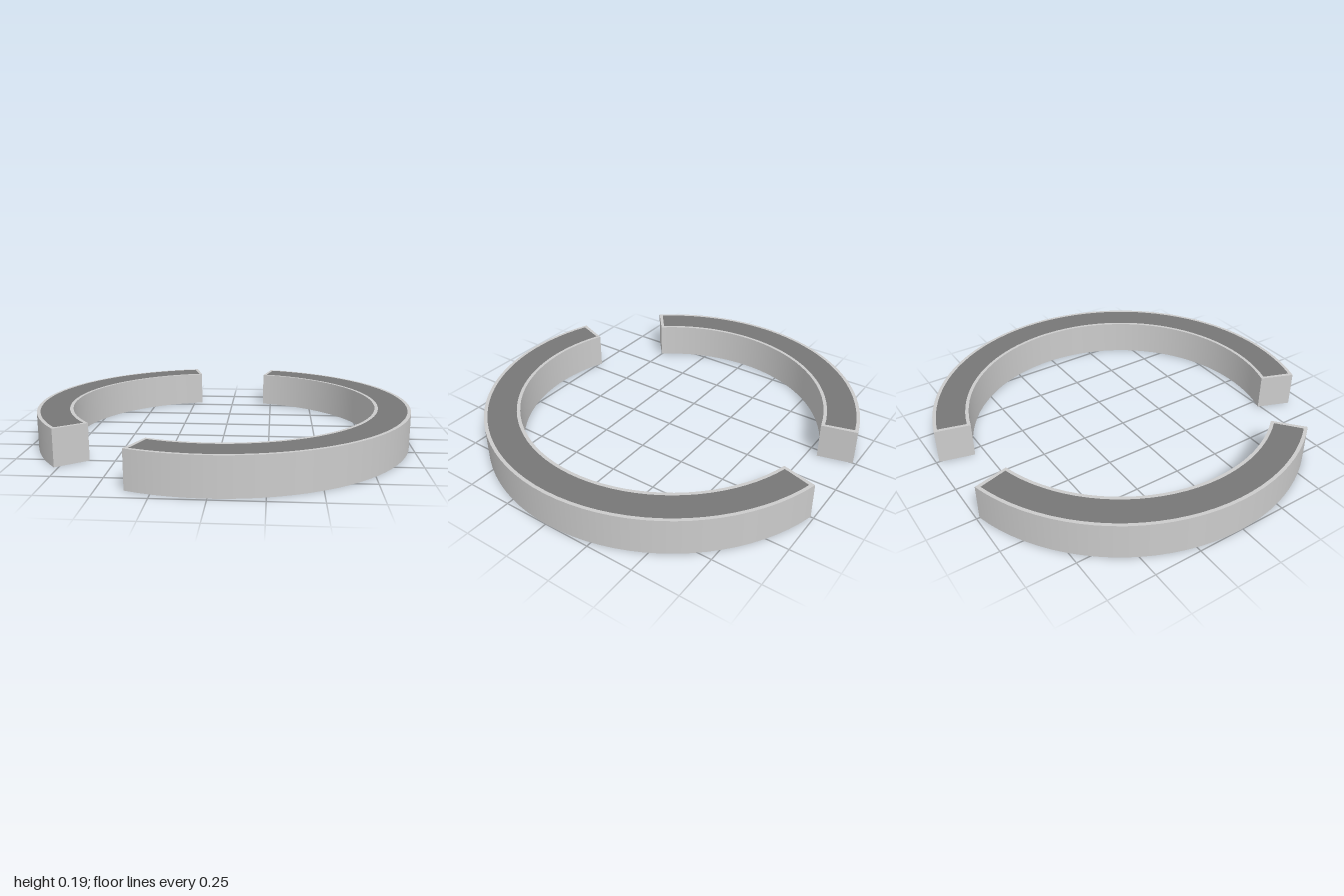
import * as THREE from 'three';

const OUTER = 1, INNER = 0.813, HEIGHT = 0.192, RIM = 0.018;
const CENTER_Z = -0.016;
const rad = THREE.MathUtils.degToRad;

const shellMaterial = new THREE.MeshStandardMaterial({ color: 0xcccccc, side: THREE.DoubleSide });
const panelMaterial = new THREE.MeshStandardMaterial({ color: 0x777777, side: THREE.DoubleSide });

function add(group, name, geometry, material = shellMaterial) {
  const mesh = new THREE.Mesh(geometry, material);
  mesh.name = name;
  group.add(mesh);
}

// Flat ring sector at the top; angles run from +z towards +x
function flatSector(r0, r1, a0, a1, segments) {
  return new THREE.RingGeometry(r0, r1, segments, 1, a0 - Math.PI / 2, a1 - a0)
    .rotateX(-Math.PI / 2)
    .translate(0, HEIGHT, 0);
}

// Curved upright wall
function curvedWall(r, a0, a1, segments) {
  return new THREE.CylinderGeometry(r, r, HEIGHT, segments, 1, true, a0, a1 - a0)
    .translate(0, HEIGHT / 2, 0);
}

// Straight wall closing the end of an arc
function endWall(a) {
  return new THREE.PlaneGeometry(OUTER - INNER, HEIGHT)
    .translate((OUTER + INNER) / 2, HEIGHT / 2, 0)
    .rotateY(a - Math.PI / 2);
}

// Hollow arc: open underneath, dark top panel framed by a light rim
function createArc(name, startDeg, endDeg) {
  const arc = new THREE.Group();
  arc.name = name;
  const a0 = rad(startDeg), a1 = rad(endDeg);
  const segments = Math.ceil((endDeg - startDeg) / 4);
  const inset = RIM / ((OUTER + INNER) / 2);

  add(arc, 'outerWall', curvedWall(OUTER, a0, a1, segments));
  add(arc, 'innerWall', curvedWall(INNER, a0, a1, segments));
  add(arc, 'startWall', endWall(a0));
  add(arc, 'endWall', endWall(a1));

  add(arc, 'outerRim', flatSector(OUTER - RIM, OUTER, a0, a1, segments));
  add(arc, 'innerRim', flatSector(INNER, INNER + RIM, a0, a1, segments));
  add(arc, 'startRim', flatSector(INNER + RIM, OUTER - RIM, a0, a0 + inset, 1));
  add(arc, 'endRim', flatSector(INNER + RIM, OUTER - RIM, a1 - inset, a1, 1));
  add(arc, 'topPanel',
    flatSector(INNER + RIM, OUTER - RIM, a0 + inset, a1 - inset, segments), panelMaterial);
  return arc;
}

export function createModel() {
  const model = new THREE.Group();
  model.name = 'splitRing';
  model.add(createArc('longArc', -21.8, 165.6));
  model.add(createArc('shortArc', -165.6, -50.5));
  model.position.z = CENTER_Z;
  return model;
}
